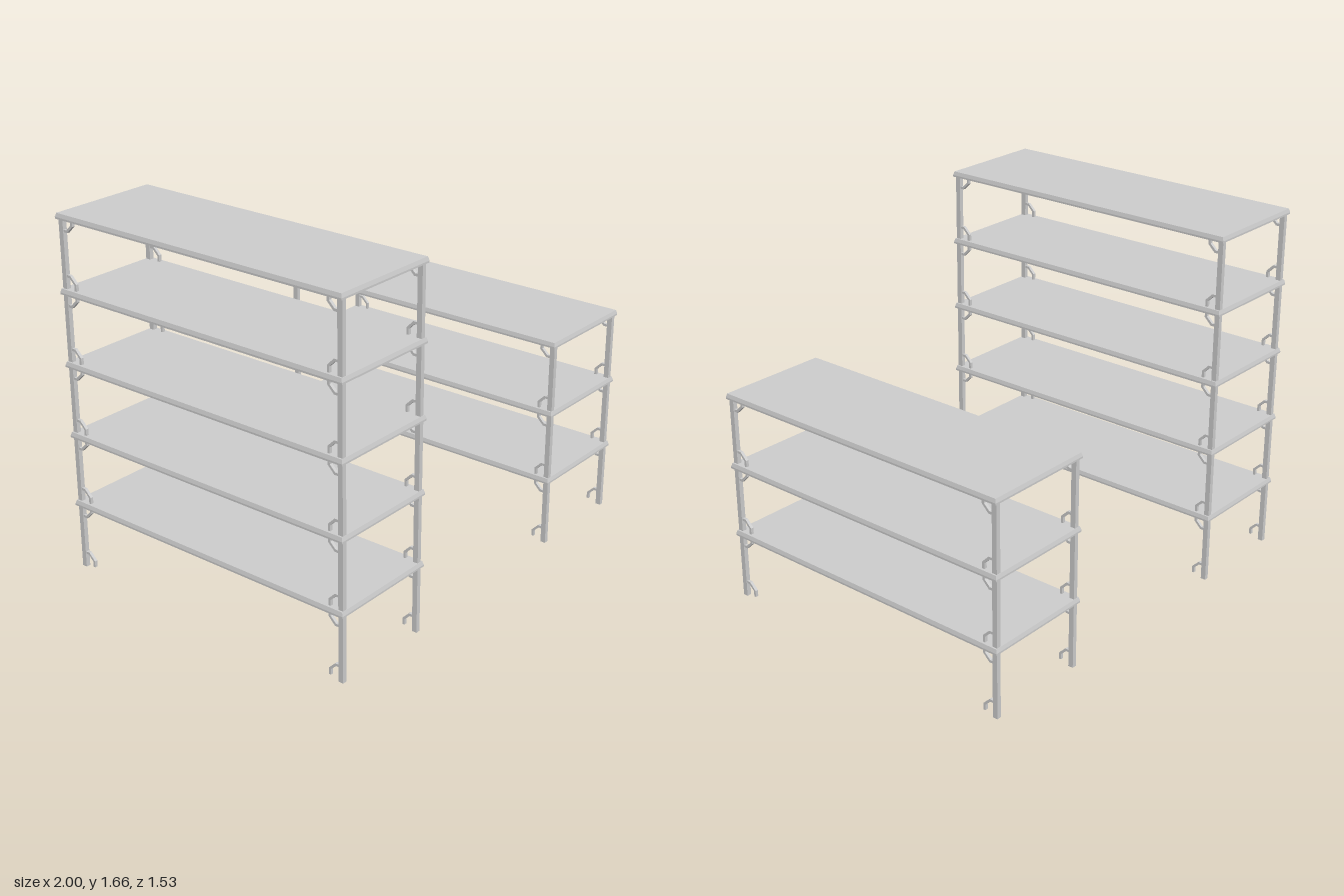
import * as THREE from 'three';

const PITCH = 0.332;          // distance between shelves
const HALF_X = 0.266, HALF_Z = 0.763;
const POST_X = 0.243, POST_Z = 0.744;
const POST_W = 0.021, POST_D = 0.024;
const RIM = 0.025;            // rim height

const material = new THREE.MeshStandardMaterial({ color: 0xcccccc, flatShading: true });

// Skin a series of rectangular rings [halfX, y, halfZ]
function loftRects(rings) {
  const signs = [[1, 1], [1, -1], [-1, -1], [-1, 1]];
  const corner = ([hx, y, hz], i) => [hx * signs[i % 4][0], y, hz * signs[i % 4][1]];
  const pos = [];
  for (let r = 0; r < rings.length - 1; r++) {
    for (let i = 0; i < 4; i++) {
      const a = corner(rings[r], i), b = corner(rings[r], i + 1);
      const c = corner(rings[r + 1], i + 1), d = corner(rings[r + 1], i);
      pos.push(...a, ...b, ...c, ...a, ...c, ...d);
    }
  }
  const geo = new THREE.BufferGeometry();
  geo.setAttribute('position', new THREE.Float32BufferAttribute(pos, 3));
  geo.computeVertexNormals();
  return geo;
}

// Tray-like shelf: thin plate with a downturned, slightly flared rim; top at y = 0
function shelfGeometry() {
  const ix = HALF_X - 0.01, iz = HALF_Z - 0.01;
  return loftRects([
    [0, -0.006, 0], [ix, -0.006, iz], [ix, -RIM, iz],
    [HALF_X, -RIM, HALF_Z], [HALF_X, -0.017, HALF_Z],
    [HALF_X - 0.005, 0, HALF_Z - 0.005], [0, 0, 0],
  ]);
}

// Bent corner brace, reaching along +z from the post and standing on y = 0
function braceGeometry() {
  const points = [
    [-0.002, 0.063], [0.02, 0.063], [0.053, 0.03], [0.053, 0],
    [0.042, 0], [0.042, 0.026], [0.015, 0.052], [-0.002, 0.052],
  ].map(([u, v]) => new THREE.Vector2(u, v));
  const geo = new THREE.ExtrudeGeometry(new THREE.Shape(points), { depth: 0.014, bevelEnabled: false });
  geo.translate(0, 0, -0.007);
  geo.rotateY(-Math.PI / 2);
  return geo;
}

function createRack(name, levels) {
  const rack = new THREE.Group();
  rack.name = name;
  const add = (geo, partName, x, y, z) => {
    const mesh = new THREE.Mesh(geo, material);
    mesh.name = partName;
    mesh.position.set(x, y, z);
    rack.add(mesh);
    return mesh;
  };

  // Shelves
  const shelf = shelfGeometry();
  for (let i = 1; i <= levels; i++) add(shelf, 'shelf', 0, i * PITCH, 0);

  // Posts with braces above and below every shelf
  const height = levels * PITCH - 0.003;
  const post = new THREE.BoxGeometry(POST_W, height, POST_D);
  const brace = braceGeometry();
  for (const sx of [-1, 1]) {
    for (const sz of [-1, 1]) {
      const x = sx * POST_X;
      add(post, 'post', x, height / 2, sz * POST_Z);
      const z = sz * (POST_Z - POST_D / 2);
      for (let i = 0; i < levels; i++) {
        const lower = add(brace, 'lowerBrace', x, i === 0 ? 0.013 : i * PITCH, z);
        if (sz > 0) lower.rotation.y = Math.PI;
        const upper = add(brace, 'upperBrace', x, (i + 1) * PITCH - RIM + 0.006, z);
        if (sz > 0) upper.rotation.x = Math.PI;
        else upper.rotation.z = Math.PI;
      }
    }
  }
  return rack;
}

export function createModel() {
  const model = new THREE.Group();
  model.name = 'shelvingRacks';
  const tall = createRack('tallRack', 5);
  tall.position.set(-0.734, 0, -0.004);
  const low = createRack('lowRack', 3);
  low.position.set(0.732, 0.009, 0);
  model.add(tall, low);
  return model;
}
